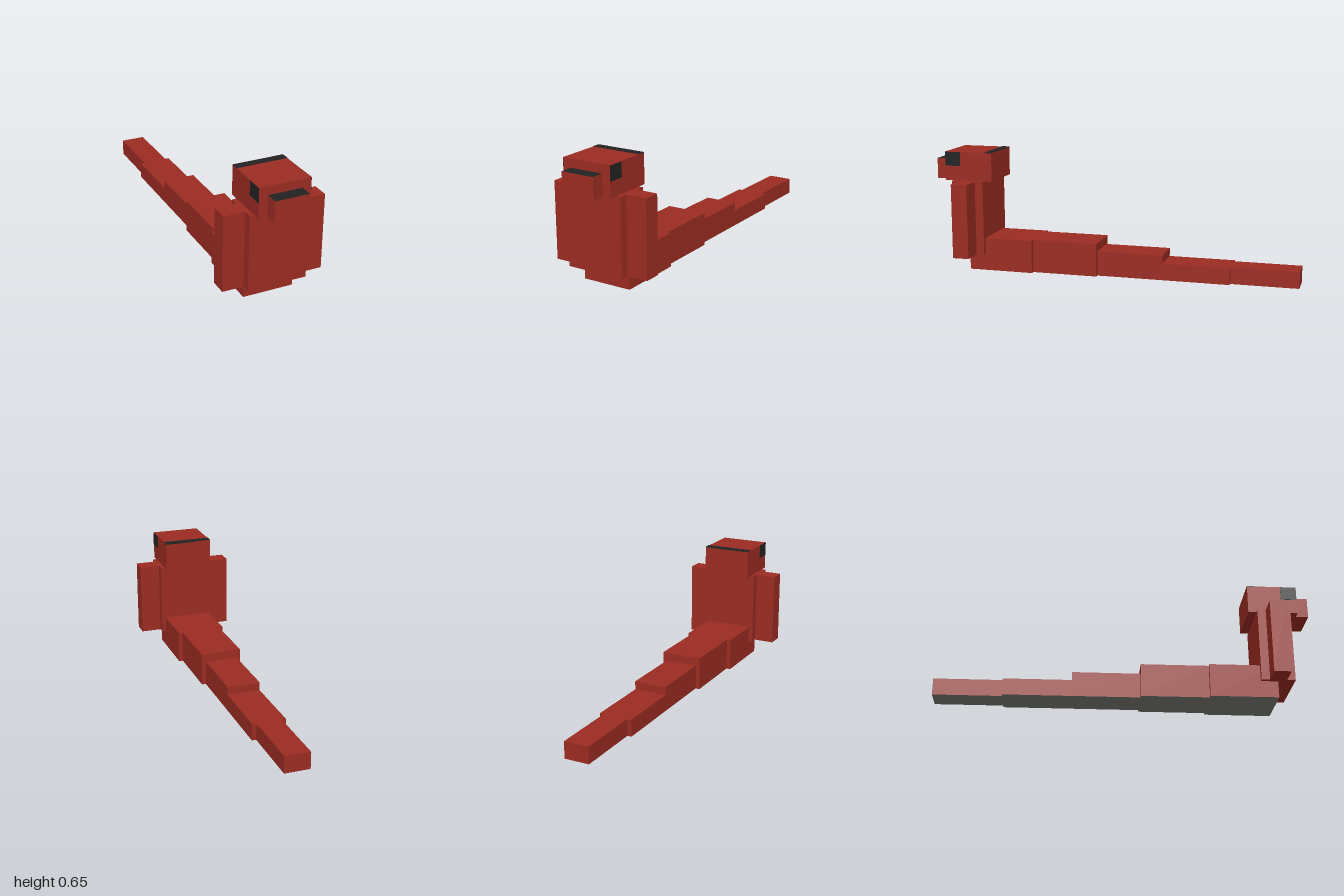
import * as THREE from 'three';

export function createModel() {
  const model = new THREE.Group();
  model.name = 'blockFigure';

  const material = (name, color) => {
    const m = new THREE.MeshStandardMaterial({ color });
    m.name = name;
    return m;
  };
  const red = material('brickRed', 0x9c2c22);
  const black = material('nearBlack', 0x222222);
  const grey = material('undersideGrey', 0x787870);

  // Box given by its extents on each axis
  const block = (name, [x0, x1], [y0, y1], [z0, z1], mat = red) => {
    const mesh = new THREE.Mesh(new THREE.BoxGeometry(x1 - x0, y1 - y0, z1 - z0), mat);
    mesh.position.set((x0 + x1) / 2, (y0 + y1) / 2, (z0 + z1) / 2);
    mesh.name = name;
    model.add(mesh);
    return mesh;
  };

  // Face order: +x, -x, +y, -y, +z, -z
  const greyBelow = [red, red, red, grey, red, red];
  const blackAbove = [red, red, black, red, red, red];

  // Long stepped tail, from the base under the body to the tip
  const segments = [[0.135, 0.18], [0.1125, 0.18], [0.09, 0.135], [0.09, 0.09], [0.0675, 0.09]];
  segments.forEach(([half, height], i) => {
    const front = 0.8 - i * 0.36;
    block(`tailSegment${i + 1}`, [-half, half], [0, height], [front - 0.36, front], greyBelow);
  });

  // Body and head
  block('torso', [-0.1575, 0.1575], [0.09, 0.495], [0.708, 0.888]);
  block('head', [-0.135, 0.135], [0.495, 0.652], [0.663, 0.932]);
  block('snout', [-0.09, 0.09], [0.495, 0.607], [0.932, 1], blackAbove);

  // Thin dark band along the back edge of the crown
  block('crownBand', [-0.135, 0.135], [0.648, 0.654], [0.663, 0.705], black);

  // Arms and eyes, mirrored
  for (const [side, s] of [['left', 1], ['right', -1]]) {
    const span = (a, b) => (s > 0 ? [a, b] : [-b, -a]);
    block(`${side}Arm`, span(0.1575, 0.27), [0.09, 0.495], [0.753, 0.843]);
    block(`${side}Eye`, span(0.131, 0.137), [0.575, 0.651], [0.845, 0.931], black);
  }

  return model;
}
